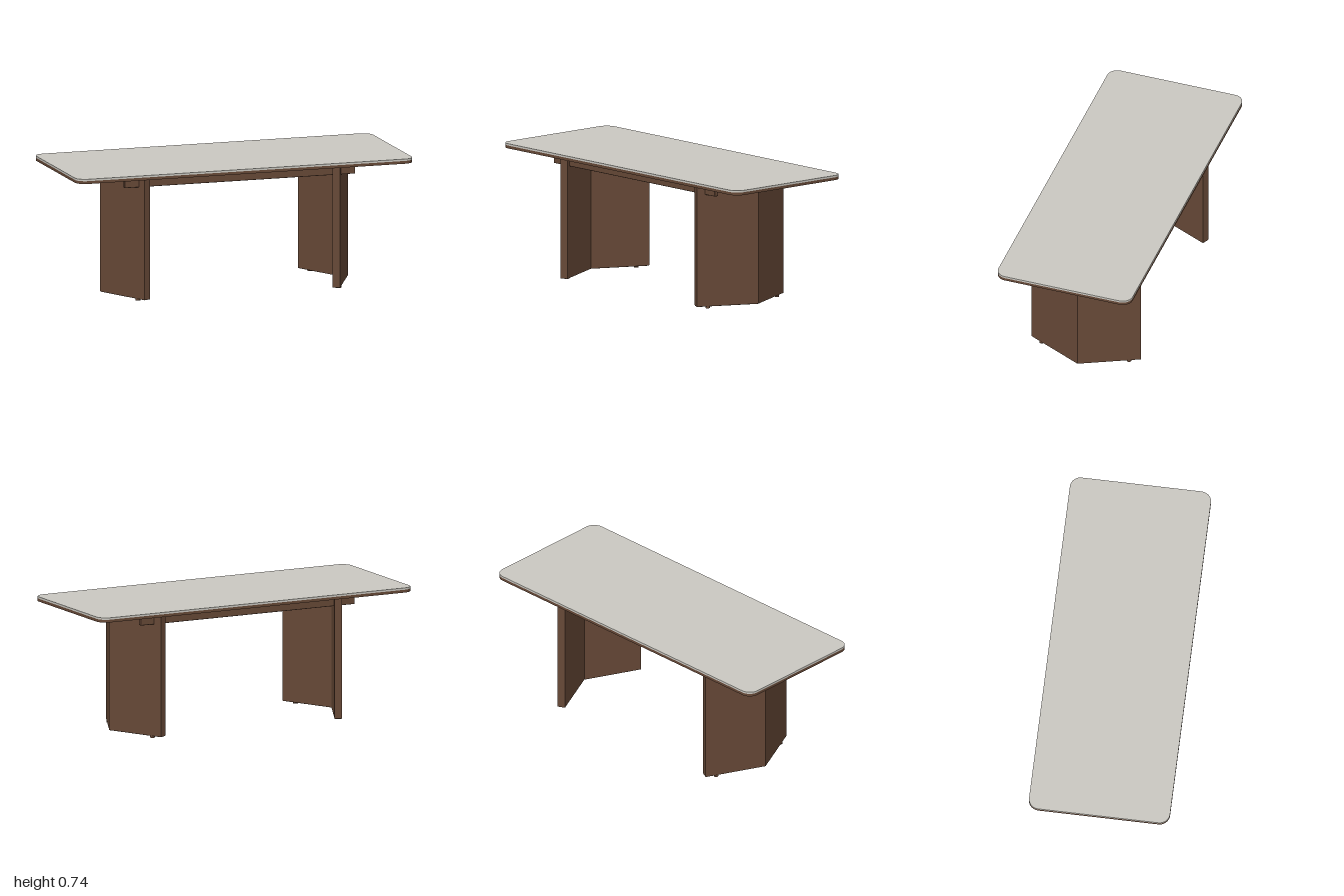
import * as THREE from 'three';
import { RoundedBoxGeometry } from 'three/addons/geometries/RoundedBoxGeometry.js';

const wood = new THREE.MeshStandardMaterial({ color: 0x674937 });
wood.name = 'walnut wood';
const stone = new THREE.MeshStandardMaterial({ color: 0xcbc9c2 });
stone.name = 'pale stone';

// Extrudes a plan shape (x, -z) upwards from y0 to y1, with optional softened edges
function slab(shape, y0, y1, bevel = 0) {
  const geo = new THREE.ExtrudeGeometry(shape, {
    depth: y1 - y0 - 2 * bevel,
    bevelEnabled: bevel > 0,
    bevelSize: bevel,
    bevelThickness: bevel,
    bevelOffset: -bevel,
    bevelSegments: 2,
    curveSegments: 12,
  });
  geo.rotateX(-Math.PI / 2);
  geo.translate(0, y0 + bevel, 0);
  return geo;
}

function roundedRect(w, d, r) {
  const x = w / 2, y = d / 2;
  const s = new THREE.Shape();
  s.moveTo(-x + r, -y);
  s.lineTo(x - r, -y);
  s.absarc(x - r, -y + r, r, -Math.PI / 2, 0);
  s.absarc(x - r, y - r, r, 0, Math.PI / 2);
  s.absarc(-x + r, y - r, r, Math.PI / 2, Math.PI);
  s.absarc(-x + r, -y + r, r, Math.PI, Math.PI * 1.5);
  return s;
}

export function createModel() {
  const model = new THREE.Group();
  model.name = 'diningTable';
  const add = (parent, name, geo, mat) => {
    const mesh = new THREE.Mesh(geo, mat);
    mesh.name = name;
    parent.add(mesh);
    return mesh;
  };

  // Table top: wooden base with a stone sheet on it
  const outline = roundedRect(2, 0.8, 0.06);
  add(model, 'topBase', slab(outline, 0.714, 0.73), wood);
  add(model, 'topSheet', slab(outline, 0.73, 0.741), stone);

  // V-shaped legs: two mitred boards meeting at an outward apex
  const plan = [[0.735, 0], [0.58, 0.326], [0.541, 0.307], [0.687, 0]];
  for (const sx of [1, -1]) {
    const leg = new THREE.Group();
    leg.name = sx > 0 ? 'leftLeg' : 'rightLeg';
    model.add(leg);
    for (const sz of [1, -1]) {
      const side = sz > 0 ? 'front' : 'back';
      const shape = new THREE.Shape(plan.map(([x, z]) => new THREE.Vector2(sx * x, -sz * z)));
      add(leg, side + 'Board', slab(shape, 0.01, 0.714, 0.004), wood);
      const foot = add(leg, side + 'Foot', new THREE.CylinderGeometry(0.013, 0.013, 0.014, 20), wood);
      foot.position.set(sx * 0.598, 0.007, sz * 0.26);
    }
  }

  // Rails under the top, passing through the legs
  for (const sz of [1, -1]) {
    const rail = add(model, sz > 0 ? 'frontRail' : 'backRail',
      new RoundedBoxGeometry(1.37, 0.062, 0.026, 2, 0.004), wood);
    rail.position.set(0, 0.683, sz * 0.27);
  }
  return model;
}
